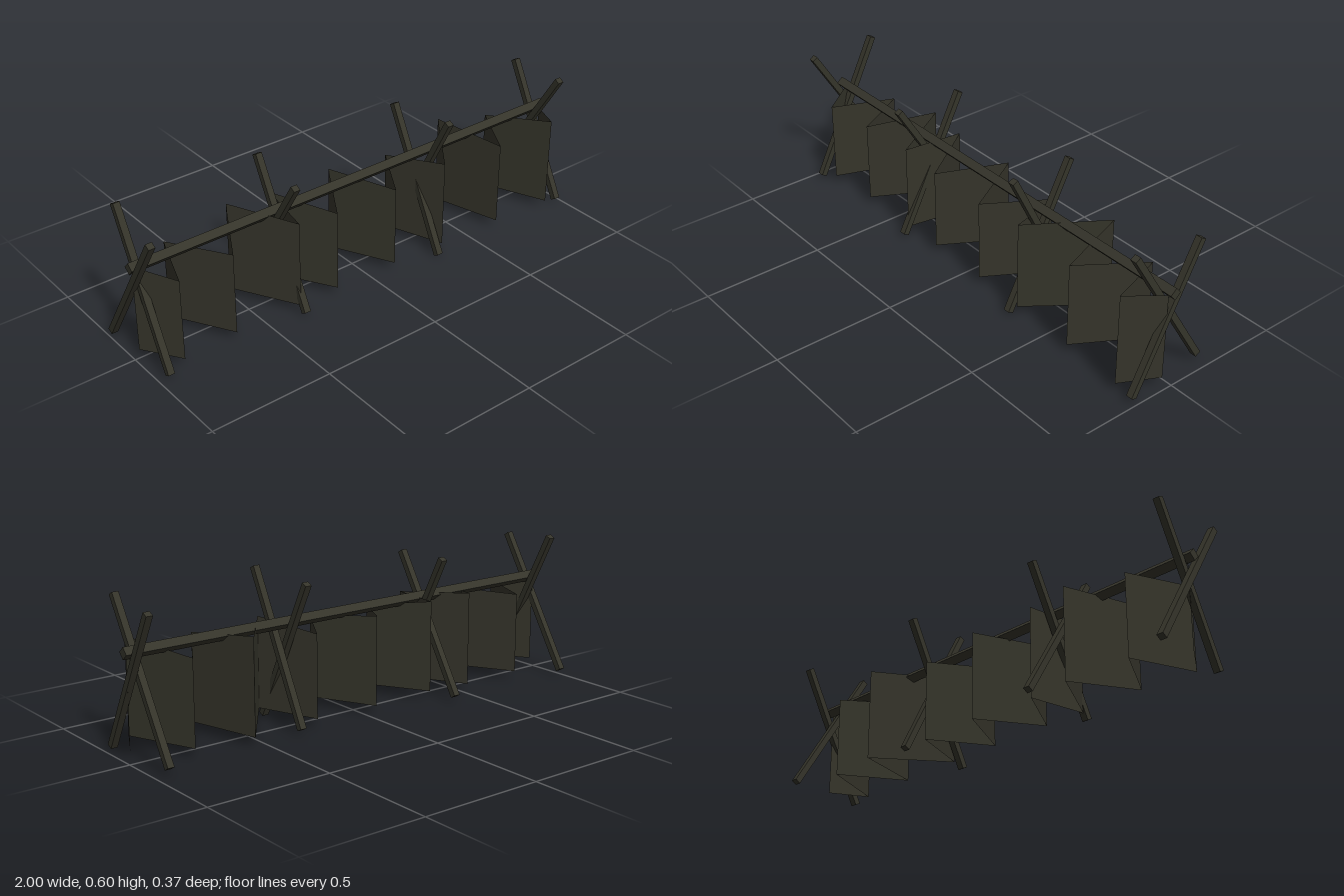
import * as THREE from 'three';

const darkOlive = new THREE.MeshStandardMaterial({ name: 'darkOlive', color: 0x35342a, flatShading: true });
const oliveSheet = darkOlive.clone();
oliveSheet.side = THREE.DoubleSide;

// Square post between two (z, y) points, lying in the plane x
function post(name, x, [z0, y0], [z1, y1]) {
  const length = Math.hypot(z1 - z0, y1 - y0);
  const mesh = new THREE.Mesh(new THREE.BoxGeometry(0.027, length, 0.025), darkOlive);
  mesh.name = name;
  mesh.position.set(x, (y0 + y1) / 2, (z0 + z1) / 2);
  mesh.rotation.x = Math.atan2(z1 - z0, y1 - y0);
  return mesh;
}

// Upright sheet folded along the points [x, z, top]
function foldedSheet(points, bottom) {
  const positions = [];
  for (let i = 0; i < points.length - 1; i++) {
    const [x0, z0, t0] = points[i];
    const [x1, z1, t1] = points[i + 1];
    positions.push(x0, bottom, z0, x1, bottom, z1, x1, t1, z1);
    positions.push(x0, bottom, z0, x1, t1, z1, x0, t0, z0);
  }
  const geometry = new THREE.BufferGeometry();
  geometry.setAttribute('position', new THREE.Float32BufferAttribute(positions, 3));
  geometry.computeVertexNormals();
  return geometry;
}

export function createModel() {
  const model = new THREE.Group();
  model.name = 'barricade';

  // Long rail, turned on its edge
  const rail = new THREE.Mesh(new THREE.BoxGeometry(2, 0.034, 0.034), darkOlive);
  rail.name = 'rail';
  rail.position.set(0, 0.405, 0.015);
  rail.rotation.x = 0.72;
  model.add(rail);

  // Crossed posts: x and (z, y) ends of the forward and the backward leaning post
  const trestles = [
    { fx: -0.985, f: [[-0.177, 0.027], [0.157, 0.567]], bx: -0.957, b: [[0.17, 0.02], [-0.118, 0.596]] },
    { fx: -0.382, f: [[-0.177, 0.027], [0.157, 0.567]], bx: -0.355, b: [[0.17, 0.02], [-0.118, 0.58]] },
    { fx: 0.335, f: [[-0.117, 0.022], [0.175, 0.596]], bx: 0.308, b: [[0.17, 0.008], [-0.118, 0.575]] },
    { fx: 0.944, f: [[-0.177, 0.027], [0.163, 0.585]], bx: 0.972, b: [[0.17, 0.02], [-0.118, 0.568]] },
  ];
  trestles.forEach(({ fx, f, bx, b }) => {
    const trestle = new THREE.Group();
    trestle.name = 'trestle';
    trestle.add(post('forwardPost', fx, ...f), post('backwardPost', bx, ...b));
    model.add(trestle);
  });

  // Zigzag sheet hanging around the rail: x, z, top height
  const folds = [
    [-0.98, 0.0, 0.4], [-0.88, 0.15, 0.377], [-0.785, -0.105, 0.372], [-0.645, 0.135, 0.38],
    [-0.505, -0.115, 0.42], [-0.36, 0.145, 0.402], [-0.32, -0.095, 0.41], [-0.18, 0.14, 0.375],
    [-0.03, -0.11, 0.4], [0.1, 0.145, 0.375], [0.245, -0.095, 0.372], [0.34, 0.155, 0.407],
    [0.55, -0.125, 0.42], [0.63, 0.165, 0.39], [0.785, -0.092, 0.375], [0.9, 0.18, 0.418],
    [0.98, 0.028, 0.395],
  ];
  const sheet = new THREE.Mesh(foldedSheet(folds, 0.04), oliveSheet);
  sheet.name = 'zigzagSheet';
  model.add(sheet);

  return model;
}
